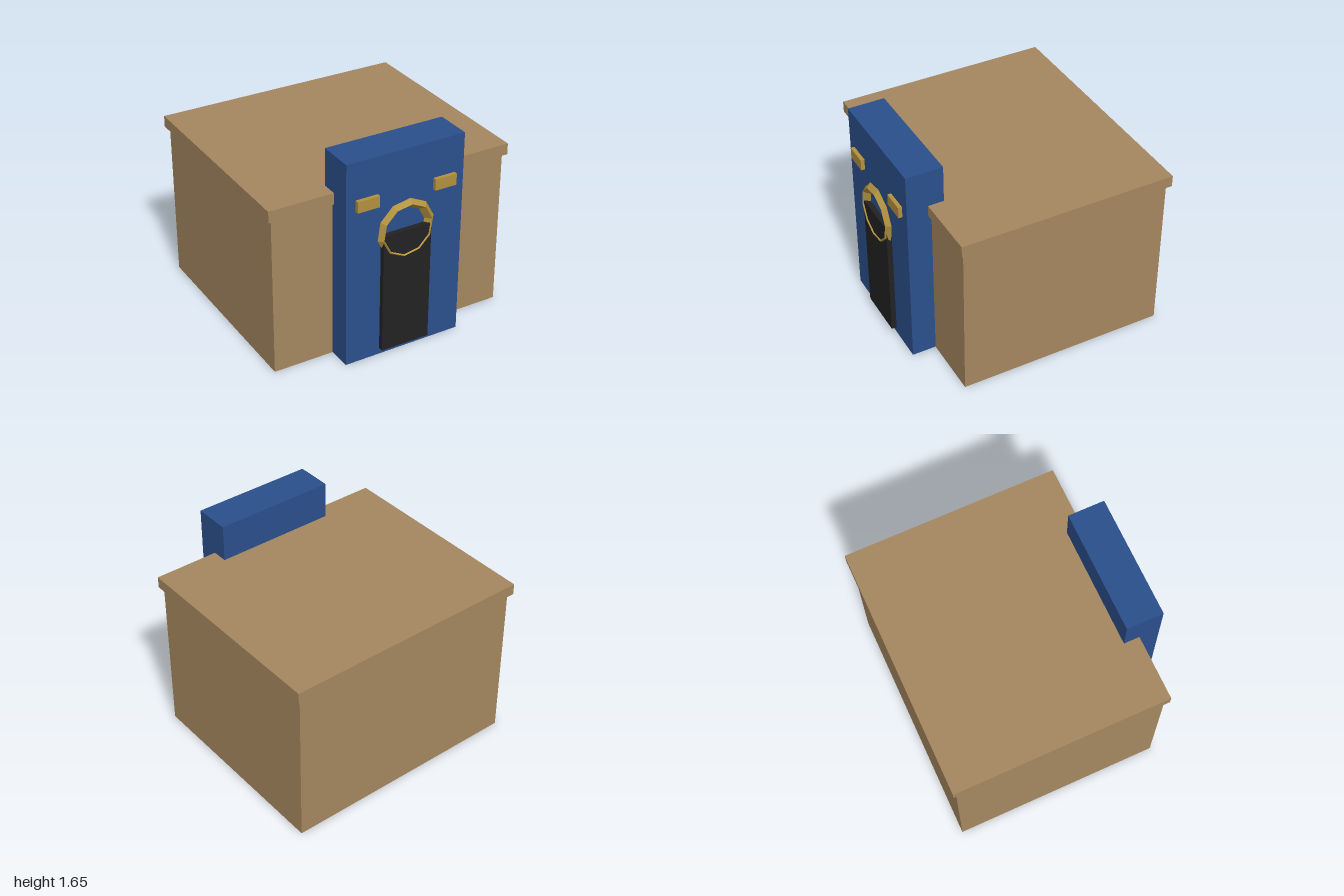
import * as THREE from 'three';

function material(name, color) {
  const m = new THREE.MeshStandardMaterial({ color });
  m.name = name;
  return m;
}

export function createModel() {
  const tan = material('sandstone', 0xa5875f);
  const blue = material('gate blue', 0x2b4f8c);
  const gold = material('gold', 0xb3923f);
  const black = material('door black', 0x222222);
  const model = new THREE.Group();
  model.name = 'gatehouse';

  // Box given by its extents on each axis
  function box(name, mat, [x0, x1], [y0, y1], [z0, z1]) {
    const mesh = new THREE.Mesh(new THREE.BoxGeometry(x1 - x0, y1 - y0, z1 - z0), mat);
    mesh.position.set((x0 + x1) / 2, (y0 + y1) / 2, (z0 + z1) / 2);
    mesh.name = name;
    model.add(mesh);
  }

  // Main building with an overhanging flat roof
  box('walls', tan, [-0.97, 0.97], [0, 1.3], [-0.93, 0.72]);
  box('roofSlab', tan, [-1, 1], [1.27, 1.36], [-0.96, 0.745]);

  // Tall gate block and its door
  box('gate', blue, [-0.485, 0.485], [0.001, 1.655], [0.62, 0.91]);
  box('door', black, [-0.2, 0.2], [0.05, 1.025], [0.9, 0.95]);

  // Mirrored plaques above the door
  for (const s of [-1, 1]) {
    box(s < 0 ? 'rightPlaque' : 'leftPlaque', gold,
      [s * 0.32 - 0.09, s * 0.32 + 0.09], [1.27, 1.36], [0.9, 0.94]);
  }

  // Faceted ten-sided ring with a sharp crest
  const profile = [[0.15, -0.02], [0.238, 0.01], [0.205, 0.048], [0.15, -0.02]]
    .map(([r, h]) => new THREE.Vector2(r, h + 0.005));
  const ringGeometry = new THREE.LatheGeometry(profile, 10, THREE.MathUtils.degToRad(28))
    .rotateX(Math.PI / 2).toNonIndexed();
  ringGeometry.computeVertexNormals();
  const ring = new THREE.Mesh(ringGeometry, gold);
  ring.name = 'doorRing';
  ring.position.set(0, 1.025, 0.907);
  model.add(ring);

  return model;
}
